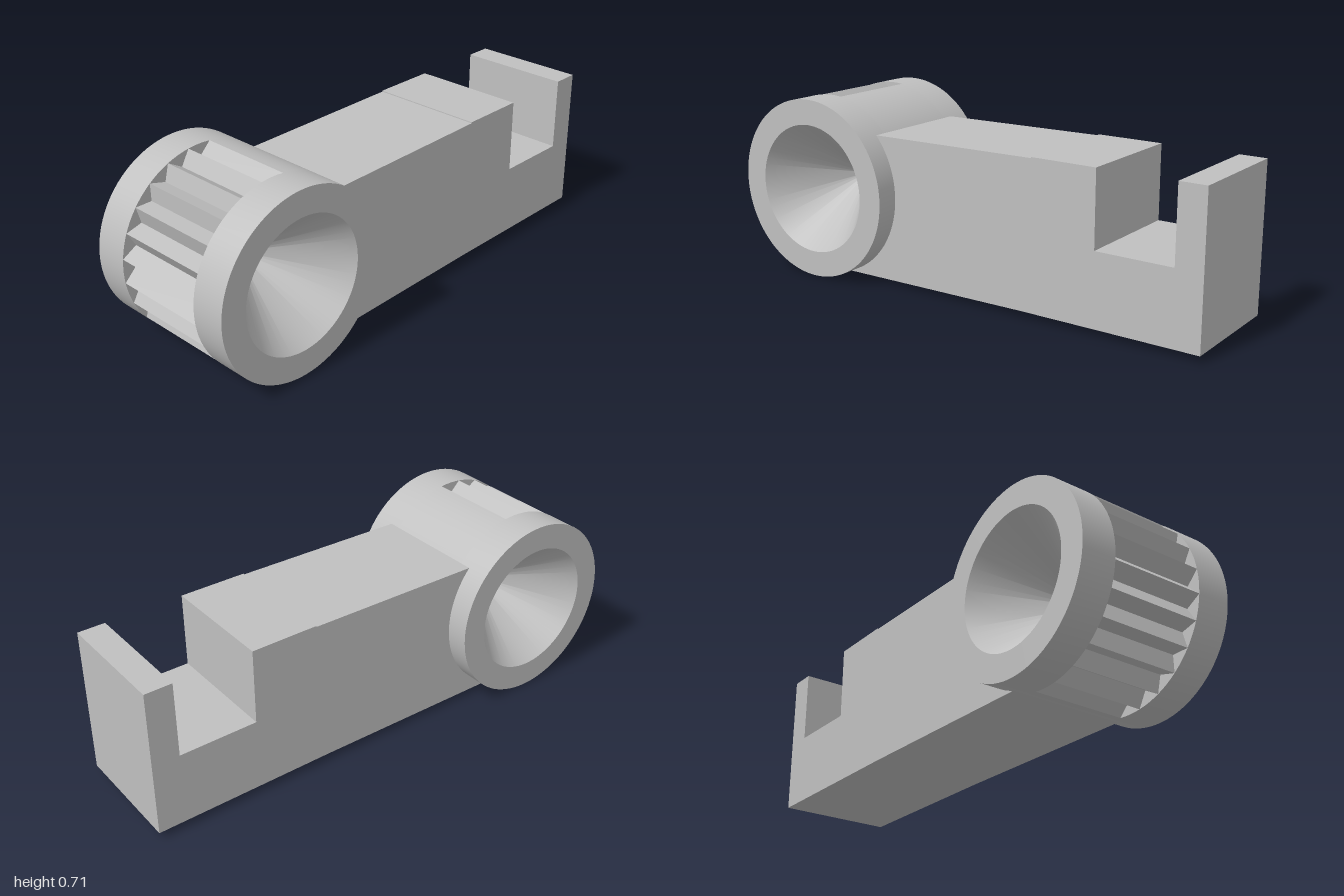
import * as THREE from 'three';
import { toCreasedNormals } from 'three/addons/utils/BufferGeometryUtils.js';

const HUB = { y: 0.355, z: 0.645, r: 0.355 };
const DEG = Math.PI / 180;

// Extrude a side profile, drawn with x pointing backwards, centred across the model's width
function extrudeAcross(shape, width) {
  const geo = new THREE.ExtrudeGeometry(shape, { depth: width, bevelEnabled: false, curveSegments: 48 });
  geo.translate(0, 0, -width / 2);
  geo.rotateY(Math.PI / 2);
  return toCreasedNormals(geo, 0.2);
}

export function createModel() {
  const group = new THREE.Group();
  const grey = new THREE.MeshStandardMaterial({ color: 0xc0c0c0 });
  grey.name = 'grey metal';

  const add = (name, geo, parent = group) => {
    const mesh = new THREE.Mesh(geo, grey);
    mesh.name = name;
    parent.add(mesh);
    return mesh;
  };

  const hub = new THREE.Group();
  hub.name = 'hub';
  hub.position.set(0, HUB.y, HUB.z);
  group.add(hub);

  // End flanges, each with a conical recess that has a small flat bottom
  const profile = [[0.2, 0.185], [HUB.r, 0.185], [HUB.r, 0.32], [0.255, 0.32], [0.033, 0.03], [0, 0.03]]
    .map(([r, h]) => new THREE.Vector2(r, h));
  for (const side of [1, -1]) {
    const geo = new THREE.LatheGeometry(profile, 96);
    geo.rotateZ(-side * Math.PI / 2);
    add(side > 0 ? 'leftFlange' : 'rightFlange', toCreasedNormals(geo, 0.5), hub);
  }

  // Toothed core: triangular teeth around the front, plain cylinder at the back
  const outline = [];
  const at = (deg, r) => new THREE.Vector2(-Math.cos(deg * DEG) * r, Math.sin(deg * DEG) * r);
  for (let i = 0; i <= 26; i++) {
    outline.push(at(-97.5 + i * 7.5, i % 2 ? 0.305 : HUB.r));
  }
  for (let a = 101.25; a < 262; a += 3.75) outline.push(at(a, HUB.r));
  const core = new THREE.Shape(outline);
  core.holes.push(new THREE.Path().absarc(0, 0, 0.2, 0, Math.PI * 2, true));
  add('toothedCore', extrudeAcross(core, 0.37), hub);

  // Slightly tapered arm with a square notch near its back end
  const arm = new THREE.Shape();
  arm.moveTo(-0.55, 0.017);
  arm.lineTo(0.29, 0.027);
  arm.lineTo(1, 0.027);
  arm.lineTo(1, 0.601);
  arm.lineTo(0.895, 0.601);
  arm.lineTo(0.895, 0.31);
  arm.lineTo(0.592, 0.31);
  arm.lineTo(0.592, 0.601);
  arm.lineTo(0.33, 0.601);
  arm.lineTo(0.33, 0.597);
  arm.lineTo(-0.41, 0.588);
  // front end follows the hub, staying clear of the recess
  for (let a = 45; a >= -72; a -= 9) {
    arm.lineTo(-HUB.z + Math.cos(a * DEG) * 0.3, HUB.y + Math.sin(a * DEG) * 0.3);
  }
  arm.closePath();
  add('arm', extrudeAcross(arm, 0.46));

  return group;
}
